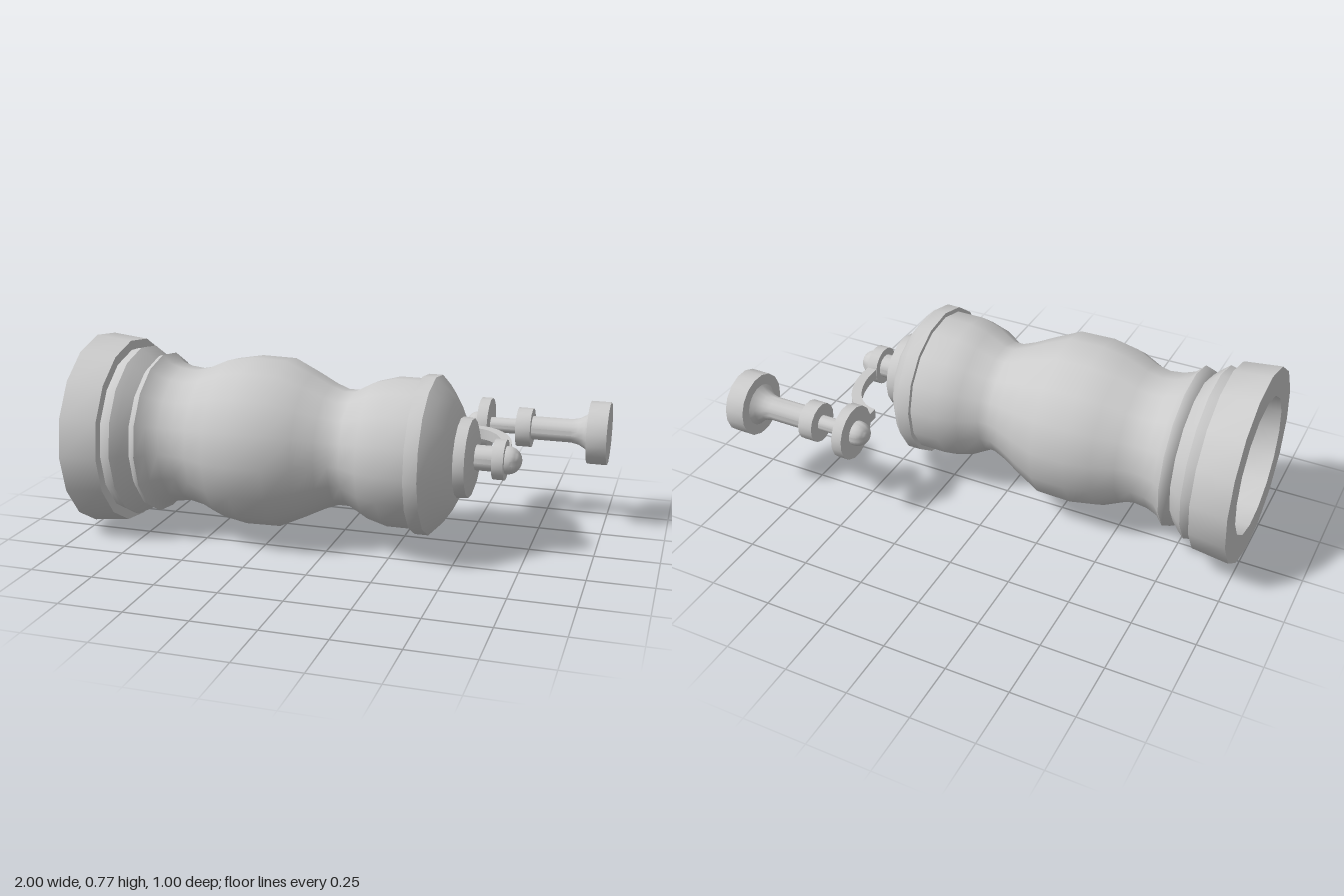
import * as THREE from 'three';
import { toCreasedNormals } from 'three/addons/utils/BufferGeometryUtils.js';

const AXIS_Y = 0.389;
const material = new THREE.MeshStandardMaterial({ color: 0xcccccc });

// Turned part along +x: profile is a list of [x, radius]
function turned(name, profile, z, phase = Math.PI / 16) {
  const points = profile.map(([x, r]) => new THREE.Vector2(r, x));
  const lathe = new THREE.LatheGeometry(points, 16, phase);
  lathe.rotateZ(-Math.PI / 2);
  const mesh = new THREE.Mesh(toCreasedNormals(lathe, 0.7), material);
  mesh.name = name;
  mesh.position.set(0, AXIS_Y, z);
  return mesh;
}

const disc = (x0, x1, r) => [[x0, 0], [x0, r], [x1, r], [x1, 0]];

// Arc of a ball profile from angle a to b (0 = -x end, PI = +x end)
function ball(cx, r, a = 0, b = Math.PI) {
  return Array.from({ length: 9 }, (_, i) => {
    const t = a + (b - a) * i / 8;
    return [cx - r * Math.cos(t), Math.max(0, r * Math.sin(t))];
  });
}

export function createModel() {
  const model = new THREE.Group();
  model.name = 'pepperMill';
  const bodyZ = 0.111, crankZ = 0.097, handleZ = -0.375;

  // Body with recessed base, beads, belly and waist
  model.add(turned('body', [
    [-0.9, 0], [-0.9, 0.275], [-1, 0.275], [-1, 0.387], [-0.853, 0.371],
    [-0.853, 0.333], [-0.83, 0.341], [-0.81, 0.345], [-0.785, 0.325], [-0.752, 0.293],
    [-0.735, 0.316], [-0.717, 0.322], [-0.685, 0.29], [-0.64, 0.274], [-0.585, 0.268],
    [-0.525, 0.28], [-0.44, 0.318], [-0.34, 0.336], [-0.2, 0.333], [-0.097, 0.285],
    [-0.02, 0.246], [0.03, 0.227], [0.075, 0.227], [0.15, 0.268], [0.23, 0.29],
    [0.342, 0.29], [0.342, 0],
  ], bodyZ, 0.06));

  // Domed lid and its cap
  model.add(turned('lid', [
    [0.342, 0], [0.342, 0.308], [0.395, 0.308], [0.43, 0.272], [0.465, 0.218],
    [0.492, 0.163], [0.492, 0],
  ], bodyZ, 0.06));
  model.add(turned('lidCap', [
    [0.48, 0], [0.48, 0.157], [0.535, 0.152], [0.548, 0.115], [0.55, 0],
  ], bodyZ, 0.06));

  // Crank spindle, hub and finial
  model.add(turned('spindle', disc(0.54, 0.63, 0.049), crankZ));
  model.add(turned('crankHub', disc(0.62, 0.664, 0.078), crankZ));
  model.add(turned('finial', [[0.66, 0], [0.66, 0.054], ...ball(0.67, 0.054, Math.PI / 2)], crankZ));

  // Curved crank arm: quarter ellipse band, drawn as (x, -z)
  const band = new THREE.Shape();
  band.moveTo(0.622, -0.03);
  band.lineTo(0.662, -0.03);
  band.absellipse(0.475, 0, 0.187, 0.27, 0, Math.PI / 2, false);
  band.lineTo(0.475, 0.228);
  band.absellipse(0.475, 0, 0.147, 0.228, Math.PI / 2, 0, true);
  const armShape = new THREE.ExtrudeGeometry(band, { depth: 0.042, bevelEnabled: false, curveSegments: 10 });
  armShape.rotateX(-Math.PI / 2);
  const arm = new THREE.Mesh(toCreasedNormals(armShape, 0.7), material);
  arm.name = 'crankArm';
  arm.position.y = AXIS_Y - 0.021;
  model.add(arm);

  // Handle carried by the arm's end plate
  model.add(turned('handleRivet', [...ball(0.465, 0.05, 0, Math.PI / 2), [0.48, 0.05], [0.48, 0]], handleZ));
  model.add(turned('armPlate', disc(0.475, 0.518, 0.11), handleZ));
  model.add(turned('handlePin', disc(0.51, 0.64, 0.031), handleZ));
  model.add(turned('handleCollar', disc(0.63, 0.69, 0.08), handleZ));
  model.add(turned('handleGrip', [
    [0.68, 0], [0.68, 0.048], [0.85, 0.048], [0.88, 0.054], [0.905, 0.068],
    [0.92, 0.085], [0.92, 0.128], [1, 0.128], [1, 0],
  ], handleZ));

  return model;
}
